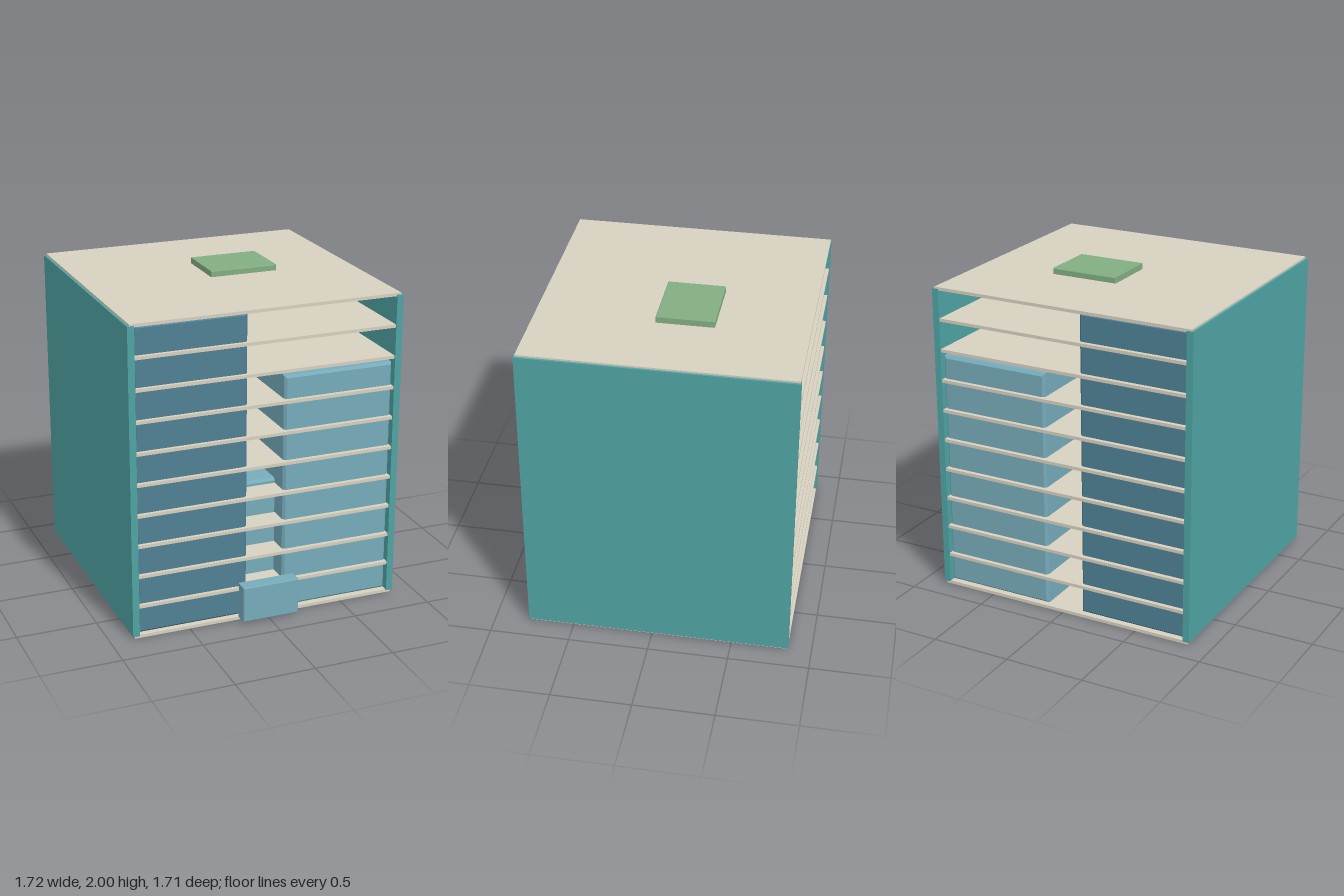
import * as THREE from 'three';

// Box given by its extents along each axis
function box([x0, x1], [y0, y1], [z0, z1]) {
  return new THREE.BoxGeometry(x1 - x0, y1 - y0, z1 - z0)
    .translate((x0 + x1) / 2, (y0 + y1) / 2, (z0 + z1) / 2);
}

// Same, with every edge chamfered by b
function chamferBox([x0, x1], [y0, y1], [z0, z1], b) {
  const s = new THREE.Shape();
  s.moveTo(x0 + b, y0 + b);
  s.lineTo(x1 - b, y0 + b);
  s.lineTo(x1 - b, y1 - b);
  s.lineTo(x0 + b, y1 - b);
  s.closePath();
  return new THREE.ExtrudeGeometry(s, {
    depth: z1 - z0 - 2 * b, bevelThickness: b, bevelSize: b, bevelSegments: 1,
  }).translate(0, 0, z0 + b);
}

export function createModel() {
  const model = new THREE.Group();
  model.name = 'officeBuilding';

  const paint = (color) => new THREE.MeshStandardMaterial({ color, flatShading: true });
  const concrete = paint(0xd7d1c0);
  const teal = paint(0x4fa3a3);
  const darkGlass = paint(0x4f8194);
  const lightGlass = paint(0x76abba);
  const green = paint(0x82ae82);

  const add = (name, geometry, material, parent = model) => {
    const mesh = new THREE.Mesh(geometry, material);
    mesh.name = name;
    parent.add(mesh);
  };

  // Eleven floor slabs, ground to roof
  const floors = new THREE.Group();
  floors.name = 'floorSlabs';
  model.add(floors);
  for (let i = 0; i <= 10; i++) {
    const y = 0.003 + i * 0.194;
    add(`floorSlab${i}`, box([-0.848, 0.848], [y, y + 0.02], [-0.852, 0.778]), concrete, floors);
  }

  // Solid side walls
  for (const [name, s] of [['leftWall', 1], ['rightWall', -1]]) {
    const xs = [0.82 * s, 0.862 * s].sort((a, b) => a - b);
    add(name, box(xs, [0.018, 1.952], [-0.856, 0.785]), teal);
  }

  // Glazed volumes between the walls
  add('tallGlassBlock', chamferBox([-0.823, -0.12], [0.022, 1.942], [-0.825, 0.755], 0.015), darkGlass);
  add('lowerGlassBlock', chamferBox([0.118, 0.822], [0.022, 1.525], [-0.825, 0.75], 0.015), lightGlass);
  add('middleGlassBlock', chamferBox([-0.13, 0.13], [0.022, 0.83], [-0.48, 0.62], 0.015), lightGlass);

  // Entrance porch and rooftop garden
  add('entrancePorch', chamferBox([-0.18, 0.18], [0.02, 0.247], [0.765, 0.857], 0.005), lightGlass);
  add('roofGarden', chamferBox([-0.072, 0.358], [1.955, 2.0], [-0.295, 0.057], 0.004), green);

  return model;
}
